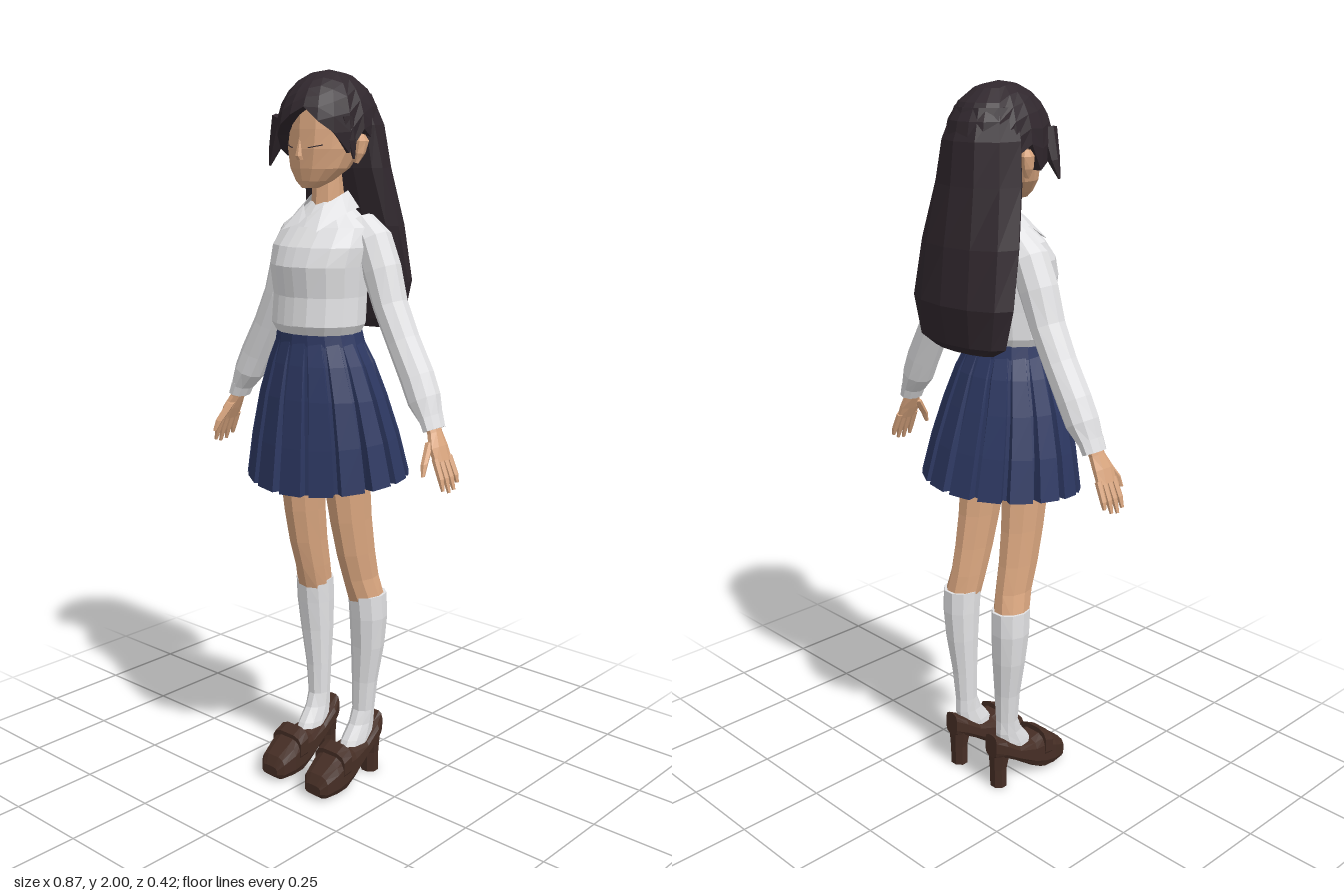
import * as THREE from 'three';

const mat = (name, color, side = THREE.FrontSide) => {
  const m = new THREE.MeshStandardMaterial({ color, side });
  m.name = name;
  return m;
};
const V = (x, y, z) => new THREE.Vector3(x, y, z);
const TAU = Math.PI * 2;

// Faceted geometry from a flat list of triangle corners
function facets(tris) {
  const g = new THREE.BufferGeometry().setFromPoints(tris);
  g.computeVertexNormals();
  return g;
}

// Skin a list of cross-sections
function loft(rings, { closed = true, caps = true } = {}) {
  const t = [], n = rings[0].length;
  for (let k = 0; k < rings.length - 1; k++) {
    const a = rings[k], b = rings[k + 1];
    for (let i = 0; i < (closed ? n : n - 1); i++) {
      const j = (i + 1) % n;
      t.push(a[i], a[j], b[j], a[i], b[j], b[i]);
    }
  }
  if (caps) {
    [rings[0], rings[rings.length - 1]].forEach((r, end) => {
      const c = r.reduce((s, p) => s.add(p), V(0, 0, 0)).divideScalar(n);
      r.forEach((p, i) => {
        const q = r[(i + 1) % n];
        t.push(c, end ? p : q, end ? q : p);
      });
    });
  }
  return facets(t);
}

// Level oval with separate front and back depth
function oval([y, rx, zf, zb, zm = (zf + zb) / 2], n) {
  return Array.from({ length: n }, (_, i) => {
    const a = i / n * TAU, c = Math.cos(a);
    return V(rx * Math.sin(a), y, zm + c * (c > 0 ? zf - zm : zm - zb));
  });
}
const body = (rows, n) => loft(rows.map(r => oval(r, n)));

// Limb through points [x, y, z, half width, half depth], lowest first
function limb(pts, n = 8) {
  return loft(pts.map(([x, y, z, rw, rd], k) => {
    const p = pts[Math.max(0, k - 1)], q = pts[Math.min(pts.length - 1, k + 1)];
    const dx = q[0] - p[0], dy = q[1] - p[1], l = Math.hypot(dx, dy);
    return Array.from({ length: n }, (_, i) => {
      const a = (i + 0.5) / n * TAU, s = Math.sin(a) * rw;
      return V(x + s * dy / l, y - s * dx / l, z + Math.cos(a) * rd);
    });
  }));
}

// Flip to the other side of the body and restore the winding
function mirror(g) {
  const p = g.attributes.position, v = [];
  for (let i = 0; i < p.count; i += 3)
    for (const k of [0, 2, 1]) v.push(V(-p.getX(i + k), p.getY(i + k), p.getZ(i + k)));
  return facets(v);
}

export function createModel() {
  const model = new THREE.Group();
  model.name = 'schoolgirl';
  const skin = mat('skin', 0xdba780);
  const hair = mat('dark hair', 0x30272d, THREE.DoubleSide);
  const white = mat('white cloth', 0xe2e2e4, THREE.DoubleSide);
  const navy = mat('navy cloth', 0x2d3862, THREE.DoubleSide);
  const leather = mat('brown leather', 0x462e25);

  const add = (name, g, m) => {
    const mesh = new THREE.Mesh(g, m);
    mesh.name = name;
    model.add(mesh);
  };
  const pair = (name, g, m) => {
    add(name + 'Left', g, m);
    add(name + 'Right', mirror(g), m);
  };

  // Head, neck and face
  add('head', body([
    [1.7, 0.022, 0.098, 0.05], [1.718, 0.05, 0.106, 0.01], [1.75, 0.08, 0.113, -0.04],
    [1.80, 0.098, 0.117, -0.09], [1.85, 0.103, 0.115, -0.12], [1.9, 0.1, 0.11, -0.12],
    [1.95, 0.07, 0.07, -0.08]], 14), skin);
  add('neck', body([[1.58, 0.055, 0.085, -0.05], [1.64, 0.042, 0.055, -0.045], [1.75, 0.038, 0.045, -0.035]], 8), skin);
  add('nose', limb([[0, 1.772, 0.112, 0.011, 0.008], [0, 1.782, 0.117, 0.009, 0.011], [0, 1.825, 0.112, 0.004, 0.004]], 6), skin);
  pair('ear', limb([[0.098, 1.765, 0.005, 0.008, 0.008], [0.106, 1.79, 0, 0.012, 0.018],
    [0.112, 1.82, -0.005, 0.01, 0.022], [0.108, 1.835, -0.005, 0.006, 0.012]], 6), skin);
  pair('eyelash', limb([[0.028, 1.803, 0.113, 0.0015, 0.003], [0.062, 1.81, 0.095, 0.0015, 0.003]], 4), hair);

  // Swept fringe and crown: hairline height at even steps around the head
  const hairline = [1.885, 1.905, 1.87, 1.84, 1.79, 1.85, 1.82, 1.72, 1.72, 1.72,
    1.72, 1.72, 1.72, 1.72, 1.82, 1.85, 1.78, 1.80, 1.835, 1.86];
  const crown = [];
  for (let k = 0; k <= 7; k++) {
    crown.push(hairline.map((end, i) => {
      const a = i / hairline.length * TAU;
      const y = 2 - (2 - end) * Math.pow(Math.min(k, 6) / 6, 1.6);
      const h = (y - 1.85) / 0.15;
      const r = (h > 0 ? Math.sqrt(Math.max(0, 1 - h * h)) : 1 + 0.12 * h) * (k === 7 ? 0.76 : 1);
      return V(0.122 * r * Math.sin(a), y, 0.155 * r * Math.cos(a));
    }));
  }
  add('crownHair', loft(crown.reverse(), { caps: false }), hair);

  // Long hair down the back
  add('backHair', body([
    [1.32, 0.11, -0.095, -0.16, -0.125], [1.345, 0.155, -0.09, -0.19, -0.125],
    [1.45, 0.178, -0.075, -0.21, -0.12], [1.6, 0.165, -0.04, -0.195, -0.09],
    [1.75, 0.138, -0.01, -0.17, -0.055], [1.86, 0.122, -0.01, -0.158, -0.04],
    [1.94, 0.09, 0, -0.125, -0.03]], 12), hair);
  add('rightLock', limb([[-0.122, 1.755, 0.1, 0.003, 0.003], [-0.108, 1.8, 0.095, 0.014, 0.018],
    [-0.08, 1.88, 0.095, 0.025, 0.03]], 6), hair);
  add('leftLock', limb([[0.112, 1.775, 0.03, 0.003, 0.003], [0.108, 1.82, 0.035, 0.01, 0.016],
    [0.1, 1.88, 0.04, 0.015, 0.03]], 6), hair);

  // Blouse
  const blouse = [
    [1.31, 0.115, 0.142, -0.06], [1.345, 0.136, 0.16, -0.075], [1.42, 0.135, 0.152, -0.08],
    [1.5, 0.142, 0.162, -0.085], [1.55, 0.148, 0.143, -0.085], [1.6, 0.138, 0.1, -0.08],
    [1.635, 0.09, 0.07, -0.065], [1.665, 0.05, 0.045, -0.045]];
  add('blouse', body(blouse, 16), white);
  add('placket', loft(blouse.slice(1, 6).map(([y, , zf]) =>
    [V(-0.016, y, zf + 0.003), V(0.016, y, zf + 0.003)]), { closed: false, caps: false }), white);

  // Folded collar, one half
  const inner = [[0.003, 1.625, 0.09], [0.035, 1.655, 0.062], [0.052, 1.682, 0.01], [0.04, 1.695, -0.04], [0, 1.7, -0.055]];
  const outer = [[0.012, 1.608, 0.108], [0.062, 1.59, 0.12], [0.088, 1.637, 0.03], [0.07, 1.65, -0.055], [0, 1.652, -0.088]];
  pair('collar', loft([outer, inner].map(r => r.map(p => V(...p))), { closed: false, caps: false }), white);

  // Sleeves and cuffs
  pair('sleeve', limb([
    [0.348, 1.12, -0.008, 0.027, 0.042], [0.322, 1.165, -0.012, 0.042, 0.05], [0.295, 1.22, -0.015, 0.044, 0.05],
    [0.245, 1.31, -0.017, 0.042, 0.05], [0.2, 1.4, -0.018, 0.043, 0.053], [0.168, 1.49, -0.02, 0.05, 0.056],
    [0.135, 1.565, -0.022, 0.05, 0.055], [0.095, 1.615, -0.022, 0.03, 0.04]], 10), white);
  pair('cuff', limb([[0.361, 1.092, -0.006, 0.024, 0.04], [0.347, 1.125, -0.008, 0.027, 0.043]], 10), white);

  // Hands
  pair('palm', limb([[0.398, 1.015, 0.003, 0.011, 0.036], [0.383, 1.05, 0.004, 0.015, 0.036],
    [0.366, 1.085, -0.002, 0.016, 0.026], [0.355, 1.11, -0.005, 0.017, 0.026]], 8), skin);
  for (let i = 0; i < 4; i++) {
    const z = 0.031 - i * 0.019, d = [0.008, 0, 0.004, 0.018][i];
    pair('finger' + (i + 1), limb([[0.428 - d * 0.4, 0.938 + d, z * 1.15, 0.005, 0.005],
      [0.416, 0.975, z * 1.1, 0.009, 0.009], [0.394, 1.025, z, 0.01, 0.01]], 6), skin);
  }
  pair('thumb', limb([[0.388, 0.985, 0.073, 0.005, 0.006], [0.382, 1.015, 0.06, 0.01, 0.011],
    [0.369, 1.065, 0.022, 0.012, 0.014]], 6), skin);

  // Pleated skirt: liner up inside, folded hem, then pleats fading to the waist
  const pleatRing = ([y, rx, zf, zb, scale, depth, sag]) => {
    const pts = [], step = TAU / 16;
    for (let i = 0; i < 16; i++) {
      for (const [f, d] of [[0.05, 0], [0.78, 0], [0.84, 1], [0.98, 1]]) {
        const a = (i + f) * step, r = scale * (1 - depth * d), s = Math.sin(a), c = Math.cos(a);
        pts.push(V(rx * r * s, y + sag * (0.015 * s * s - 0.016 * c), (zf + zb) / 2 + (zf - zb) / 2 * r * c));
      }
    }
    return pts;
  };
  add('skirt', loft([
    [1.27, 0.135, 0.15, -0.075, 0.9, 0, 0], [1.15, 0.188, 0.178, -0.125, 0.86, 0, 0],
    [0.915, 0.245, 0.208, -0.192, 0.86, 0, 1], [0.91, 0.245, 0.208, -0.192, 1, 0.12, 1],
    [1.03, 0.222, 0.196, -0.162, 1, 0.1, 0.6], [1.15, 0.19, 0.18, -0.128, 1, 0.07, 0],
    [1.24, 0.155, 0.163, -0.098, 1, 0.04, 0], [1.3, 0.125, 0.148, -0.07, 1, 0, 0]
  ].map(pleatRing), { caps: false }), navy);
  add('waistband', body([[1.29, 0.13, 0.15, -0.075], [1.335, 0.119, 0.147, -0.066]], 16), navy);
  add('hips', body([[1.0, 0.05, 0.07, -0.05], [1.06, 0.14, 0.1, -0.07], [1.18, 0.135, 0.11, -0.07], [1.29, 0.1, 0.11, -0.04]], 12), skin);

  // Legs and knee socks
  pair('leg', limb([
    [0.1, 0.55, -0.048, 0.049, 0.055], [0.092, 0.62, -0.03, 0.045, 0.06], [0.09, 0.7, -0.01, 0.047, 0.066],
    [0.087, 0.8, 0.008, 0.051, 0.071], [0.084, 0.9, 0.02, 0.056, 0.076], [0.08, 1.1, 0.022, 0.068, 0.082]], 10), skin);
  pair('sock', limb([
    [0.085, 0.075, 0, 0.034, 0.06], [0.085, 0.13, -0.026, 0.034, 0.056], [0.086, 0.17, -0.044, 0.031, 0.043],
    [0.087, 0.21, -0.051, 0.031, 0.034], [0.09, 0.3, -0.053, 0.037, 0.038], [0.098, 0.41, -0.055, 0.048, 0.048],
    [0.102, 0.5, -0.053, 0.053, 0.056], [0.101, 0.568, -0.049, 0.052, 0.059]], 10), white);

  // Shoes: sections [z, sole, top, half width] from toe to heel
  const shoe = [[0.166, 0.015, 0.045, 0.03], [0.15, 0.002, 0.072, 0.045], [0.11, 0, 0.098, 0.054], [0.07, 0, 0.125, 0.054],
    [0.03, 0.022, 0.115, 0.05], [-0.03, 0.065, 0.122, 0.043], [-0.08, 0.095, 0.158, 0.04], [-0.113, 0.105, 0.178, 0.024]];
  const shoeRing = ([z, lo, hi, w]) => Array.from({ length: 12 }, (_, i) => {
    const a = (i + 0.5) / 12 * TAU, sq = v => Math.sign(v) * Math.pow(Math.abs(v), 0.6);
    return V(0.085 + w * sq(Math.sin(a)), (lo + hi) / 2 + (hi - lo) / 2 * sq(Math.cos(a)), z);
  });
  pair('shoe', loft(shoe.map(shoeRing)), leather);
  pair('shoeStrap', loft([[0.092, 0.04, 0.122, 0.057], [0.06, 0.04, 0.138, 0.057]].map(shoeRing)), leather);
  pair('shoeHeel', limb([[0.085, 0, -0.083, 0.027, 0.025], [0.085, 0.06, -0.084, 0.027, 0.026], [0.085, 0.13, -0.078, 0.036, 0.036]], 8), leather);

  return model;
}
